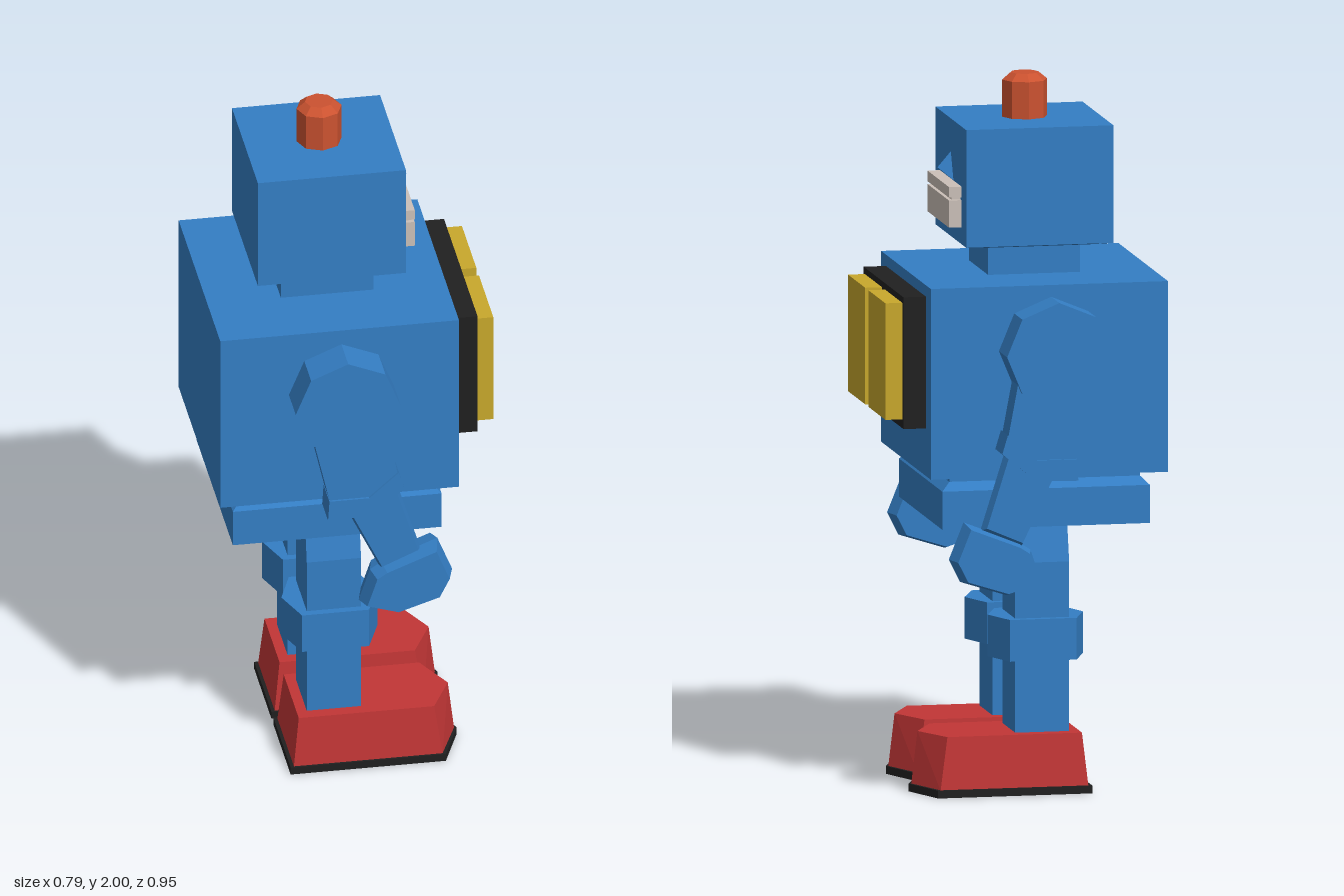
import * as THREE from 'three';
import { ConvexGeometry } from 'three/addons/geometries/ConvexGeometry.js';

const V = (x, y, z) => new THREE.Vector3(x, y, z);

function material(name, color) {
  const m = new THREE.MeshStandardMaterial({ color });
  m.name = name;
  return m;
}

export function createModel() {
  const blue = material('body blue', 0x347ec4);
  const red = material('shoe red', 0xc23636);
  const black = material('trim black', 0x202020);
  const yellow = material('panel yellow', 0xc8a82c);
  const orange = material('lamp orange', 0xcb5230);
  const cream = material('mouth cream', 0xcbc0b8);

  const robot = new THREE.Group();
  robot.name = 'robot';

  function add(parent, name, geometry, mat) {
    const mesh = new THREE.Mesh(geometry, mat);
    mesh.name = name;
    parent.add(mesh);
    return mesh;
  }
  // Box given by its limits on each axis
  function box(parent, name, mat, x0, x1, y0, y1, z0, z1) {
    const mesh = add(parent, name, new THREE.BoxGeometry(x1 - x0, y1 - y0, z1 - z0), mat);
    mesh.position.set((x0 + x1) / 2, (y0 + y1) / 2, (z0 + z1) / 2);
    return mesh;
  }
  // Convex solid through horizontal outlines: [y, [[x, z], ...]]
  function stack(parent, name, mat, layers) {
    const pts = layers.flatMap(([y, outline]) => outline.map(([x, z]) => V(x, y, z)));
    return add(parent, name, new ConvexGeometry(pts), mat);
  }
  const rect = (cx, rx, rz, cz = 0) =>
    [[cx - rx, cz - rz], [cx + rx, cz - rz], [cx + rx, cz + rz], [cx - rx, cz + rz]];
  // Convex side outline, full size in the middle and shrunk on both faces
  function bevelled(parent, name, mat, outline, half, shrink) {
    const n = outline.length;
    const cx = outline.reduce((s, p) => s + p[0], 0) / n;
    const cy = outline.reduce((s, p) => s + p[1], 0) / n;
    const pts = outline.flatMap(([x, y]) => {
      const sx = cx + (x - cx) * shrink, sy = cy + (y - cy) * shrink;
      return [V(x, y, 0), V(sx, sy, half), V(sx, sy, -half)];
    });
    return add(parent, name, new ConvexGeometry(pts), mat);
  }
  // Flat plate of any side outline, centred on its thickness
  function plate(parent, name, mat, outline, half) {
    const shape = new THREE.Shape(outline.map(([x, y]) => new THREE.Vector2(x, y)));
    const geo = new THREE.ExtrudeGeometry(shape, { depth: half * 2, bevelEnabled: false });
    geo.translate(0, 0, -half);
    return add(parent, name, geo, mat);
  }

  // Torso and hips
  const CX = -0.058;
  box(robot, 'torso', blue, -0.397, 0.28, 0.91, 1.45, -0.338, 0.338);
  box(robot, 'waist', blue, CX - 0.272, CX + 0.272, 0.87, 0.915, -0.275, 0.275);
  stack(robot, 'hips', blue, [
    [0.76, rect(CX, 0.296, 0.296)], [0.868, rect(CX, 0.296, 0.296)], [0.892, rect(CX, 0.272, 0.275)],
  ]);

  // Chest panel with two doors
  box(robot, 'chestFrame', black, 0.275, 0.344, 1.045, 1.418, -0.272, 0.272);
  for (const s of [1, -1]) {
    const door = box(robot, s > 0 ? 'rightChestDoor' : 'leftChestDoor', yellow,
      0.34, 0.392, 1.07, 1.4, -0.117, 0.117);
    door.position.z = s * 0.138;
  }

  // Neck, head and face
  box(robot, 'neck', blue, CX - 0.131, CX + 0.131, 1.44, 1.54, -0.131, 0.131);
  stack(robot, 'head', blue, [
    [1.53, rect(CX, 0.15, 0.15)], [1.542, rect(CX, 0.21, 0.21)], [1.875, rect(CX, 0.21, 0.21)],
  ]);
  add(robot, 'nose', new ConvexGeometry([
    V(0.145, 1.79, 0), V(0.145, 1.7, 0.042), V(0.145, 1.7, -0.042), V(0.19, 1.738, 0),
  ]), blue);
  const mouth = new THREE.Group();
  mouth.name = 'mouth';
  robot.add(mouth);
  box(mouth, 'upperLip', cream, 0.15, 0.188, 1.675, 1.705, -0.147, 0.147);
  box(mouth, 'mouthGap', cream, 0.15, 0.178, 1.66, 1.68, -0.135, 0.135);
  box(mouth, 'lowerLip', cream, 0.15, 0.188, 1.59, 1.667, -0.147, 0.147);

  // Lamp on the head
  const lamp = new THREE.Group();
  lamp.name = 'headLamp';
  lamp.position.x = CX;
  robot.add(lamp);
  add(lamp, 'lampBody', new THREE.CylinderGeometry(0.064, 0.064, 0.115, 8).toNonIndexed(), orange)
    .position.y = 1.9225;
  add(lamp, 'lampCap', new THREE.CylinderGeometry(0.04, 0.064, 0.02, 8).toNonIndexed(), orange)
    .position.y = 1.99;
  lamp.children.forEach((m) => m.geometry.computeVertexNormals());

  // Arms and legs, the same on both sides
  for (const s of [1, -1]) {
    const side = s > 0 ? 'right' : 'left';

    const arm = new THREE.Group();
    arm.name = side + 'Arm';
    arm.position.z = s * 0.42;
    robot.add(arm);
    const disc = (name, radius, depth, z) => {
      const geo = new THREE.CylinderGeometry(radius, radius, depth, 8).toNonIndexed();
      geo.rotateX(Math.PI / 2);
      geo.computeVertexNormals();
      add(arm, name, geo, blue).position.set(CX, 1.272, z);
    };
    disc('shoulder', 0.149, 0.112, 0);
    disc('shoulderAxle', 0.125, 0.06, -s * 0.065);
    plate(arm, 'upperArm', blue,
      [[-0.16, 1.2], [0.055, 1.2], [0.085, 1.04], [0.006, 0.965], [-0.106, 0.965]], 0.041);
    plate(arm, 'elbow', blue,
      [[-0.11, 0.976], [0.003, 0.976], [0.087, 1.05], [0.103, 0.997], [0.008, 0.918], [-0.114, 0.915]], 0.048);
    bevelled(arm, 'forearm', blue,
      [[-0.068, 0.95], [0.085, 1.0], [0.156, 0.775], [0.04, 0.725]], 0.034, 0.88);
    bevelled(arm, 'hand', blue,
      [[0.045, 0.738], [0.204, 0.8], [0.246, 0.696], [0.214, 0.632],
        [0.082, 0.59], [-0.019, 0.622], [0.013, 0.717]], 0.054, 0.88);

    const leg = new THREE.Group();
    leg.name = side + 'Leg';
    leg.position.z = s * 0.156;
    robot.add(leg);
    stack(leg, 'legPost', blue, [
      [0.16, rect(CX, 0.077, 0.086)], [0.65, rect(CX, 0.077, 0.086)], [0.77, rect(CX, 0.077, 0.056)],
    ]);
    const knee = [[-0.192, 0], [-0.152, -0.108], [0.038, -0.108], [0.08, 0], [0.038, 0.108], [-0.152, 0.108]];
    stack(leg, 'knee', blue, [[0.375, knee], [0.493, knee]]);

    // Shoe outline with a pointed toe
    const foot = (back, corner, tip, rz) => [[back, -rz], [corner, -rz], [tip, 0], [corner, rz], [back, rz]];
    const sole = foot(-0.19, 0.25, 0.305, 0.14);
    stack(leg, 'sole', black, [[0, sole], [0.022, sole]]);
    stack(leg, 'shoe', red, [
      [0.02, foot(-0.18, 0.242, 0.298, 0.134)], [0.17, foot(-0.164, 0.22, 0.28, 0.122)],
    ]);
  }
  return robot;
}
